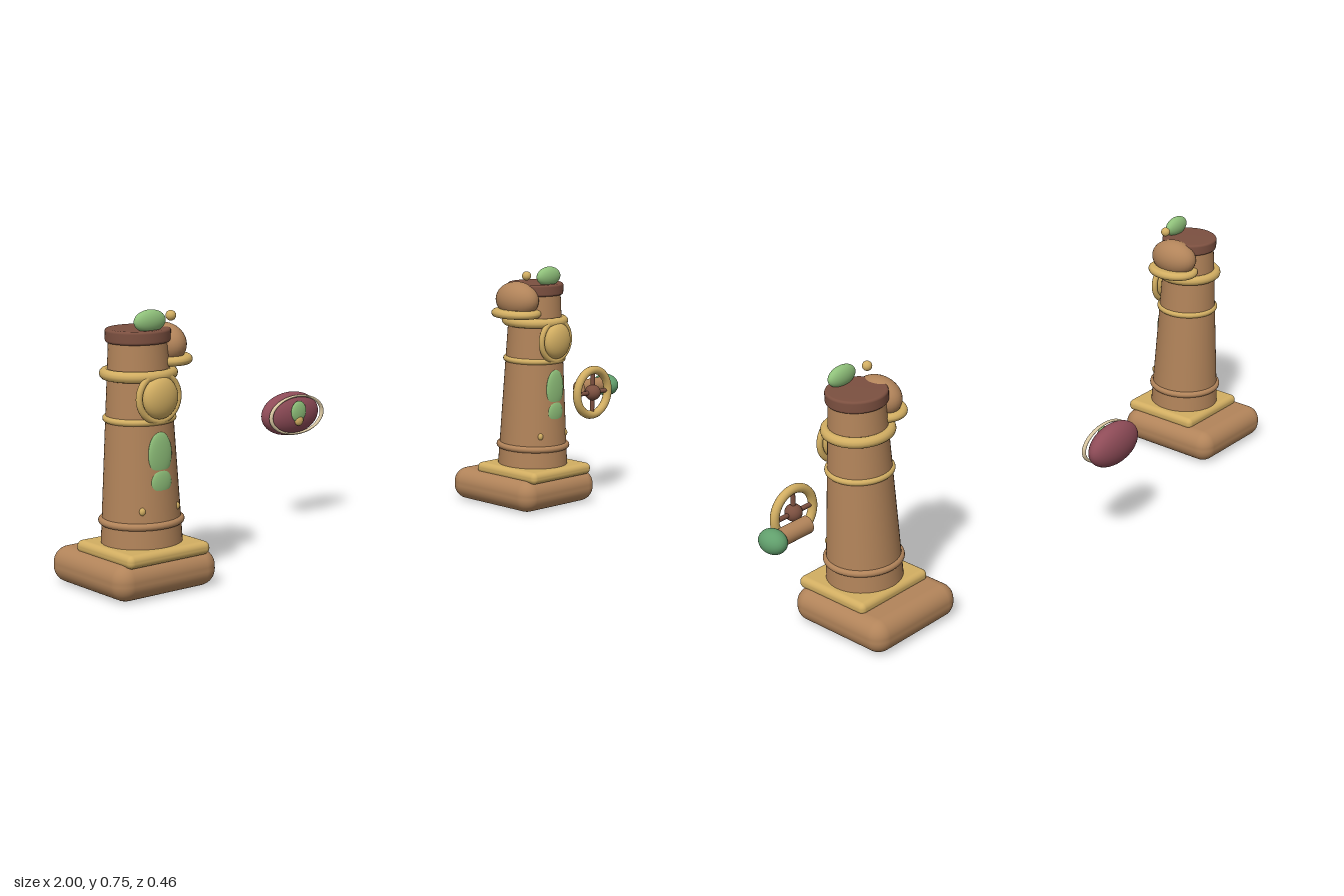
import * as THREE from 'three';
import { RoundedBoxGeometry } from 'three/addons/geometries/RoundedBoxGeometry.js';

function paint(name, color) {
  const m = new THREE.MeshStandardMaterial({ color });
  m.name = name;
  return m;
}

export function createModel() {
  const brown = paint('warm brown', 0xb2845a);
  const darkBrown = paint('dark brown', 0x7c5040);
  const gold = paint('brass', 0xd2ae62);
  const lightGreen = paint('light green', 0x8fc07a);
  const green = paint('green', 0x619f6c);
  const red = paint('wine red', 0x8f4c58);
  const cream = paint('cream', 0xd9c7a2);

  const add = (parent, name, geometry, material, x = 0, y = 0, z = 0) => {
    const mesh = new THREE.Mesh(geometry, material);
    mesh.name = name;
    mesh.position.set(x, y, z);
    parent.add(mesh);
    return mesh;
  };
  const ball = (parent, name, material, [x, y, z], [rx, ry, rz]) =>
    add(parent, name, new THREE.SphereGeometry(1, 32, 20).scale(rx, ry, rz), material, x, y, z);
  // Round disc with a fully rounded rim
  const roundedDisc = (radius, height, edge) => {
    const h = height / 2;
    const pts = [new THREE.Vector2(0, -h)];
    for (const [sy, from] of [[-1, 0], [1, 1]]) {
      for (let i = 0; i <= 5; i++) {
        const a = (Math.abs(from * 5 - i) / 5) * Math.PI / 2;
        const t = sy < 0 ? a : Math.PI / 2 - (i / 5) * Math.PI / 2;
        const out = sy < 0 ? Math.sin(t) : Math.cos(Math.PI / 2 - t);
        const up = sy < 0 ? Math.cos(t) : Math.sin(Math.PI / 2 - t);
        pts.push(new THREE.Vector2(radius - edge + edge * out, sy * (h - edge + edge * up)));
      }
    }
    pts.push(new THREE.Vector2(0, h));
    return new THREE.LatheGeometry(pts, 48);
  };

  const AXIS_Z = 0.098;

  // One tower; side gives the direction of its pot along x
  function tower(name, x, side) {
    const g = new THREE.Group();
    g.name = name;
    g.position.x = x;

    add(g, 'base', new RoundedBoxGeometry(0.325, 0.1, 0.343, 5, 0.045), brown, 0, 0.05, 0.06);
    add(g, 'plinth', new RoundedBoxGeometry(0.263, 0.036, 0.252, 4, 0.016), gold, 0, 0.108, 0.104);
    add(g, 'shaft', new THREE.CylinderGeometry(0.078, 0.109, 0.55, 48), brown, 0, 0.385, AXIS_Z);
    add(g, 'cap', roundedDisc(0.086, 0.036, 0.007), darkBrown, 0, 0.677, AXIS_Z);

    // Bands around the shaft
    for (const [label, y, r, tube, mat] of [
      ['lowerBand', 0.185, 0.104, 0.01, brown],
      ['middleBand', 0.458, 0.088, 0.009, gold],
      ['upperBand', 0.577, 0.088, 0.015, gold],
    ]) {
      add(g, label, new THREE.TorusGeometry(r, tube, 12, 48).rotateX(Math.PI / 2), mat, 0, y, AXIS_Z);
    }

    // Front medallion and oval lamp
    add(g, 'medallionRing', new THREE.TorusGeometry(0.062, 0.009, 12, 40), gold, 0, 0.522, 0.186);
    ball(g, 'medallion', gold, [0, 0.522, 0.193], [0.053, 0.056, 0.027]);
    ball(g, 'ovalLamp', lightGreen, [0, 0.372, 0.187], [0.037, 0.06, 0.01]);
    ball(g, 'lampGlow', lightGreen, [0, 0.298, 0.19], [0.032, 0.036, 0.009]);
    for (const s of [-1, 1]) {
      ball(g, 'stud', gold, [s * 0.055, 0.226, 0.181], [0.009, 0.011, 0.008]);
    }

    // Crest on the cap
    ball(g, 'crest', lightGreen, [0, 0.718, 0.152], [0.049, 0.03, 0.02]);

    // Side pot on its saucer, with a small ball above
    const saucer = add(g, 'saucer', roundedDisc(0.069, 0.025, 0.012), gold, side * 0.084, 0.606, AXIS_Z);
    saucer.scale.z = 1.2;
    ball(g, 'pot', brown, [side * 0.081, 0.647, AXIS_Z], [0.052, 0.056, 0.077]);
    ball(g, 'potBall', gold, [side * 0.08, 0.724, 0.135], [0.014, 0.014, 0.014]);
    return g;
  }

  const model = new THREE.Group();
  model.name = 'towerPair';
  model.add(tower('rightTower', -0.837, 1), tower('leftTower', 0.668, -1));

  // Hand wheel
  const wheel = new THREE.Group();
  wheel.name = 'handWheel';
  wheel.position.set(0.82, 0.345, 0.207);
  add(wheel, 'wheelRim', new THREE.TorusGeometry(0.071, 0.013, 14, 48), gold);
  for (let i = 0; i < 2; i++) {
    const spoke = add(wheel, 'spoke', new THREE.CylinderGeometry(0.007, 0.007, 0.142, 12), darkBrown);
    spoke.rotation.z = i * Math.PI / 2;
  }
  ball(wheel, 'wheelHub', darkBrown, [0, 0, 0.001], [0.025, 0.025, 0.025]);
  model.add(wheel);

  // Crank arm and knob
  add(model, 'crankArm', new THREE.CylinderGeometry(0.025, 0.025, 0.115, 28).rotateZ(Math.PI / 2),
    brown, 0.9, 0.345, 0.13);
  ball(model, 'crankKnob', green, [0.966, 0.344, 0.133], [0.034, 0.035, 0.045]);

  // Floating badge
  const badge = new THREE.Group();
  badge.name = 'badge';
  badge.position.set(-0.085, 0.335, -0.19);
  ball(badge, 'badgeBody', red, [0, 0, 0], [0.105, 0.065, 0.042]);
  const rim = add(badge, 'badgeRim', new THREE.TorusGeometry(0.098, 0.006, 12, 56), cream, 0, 0, 0.032);
  rim.scale.y = 0.575;
  ball(badge, 'badgeLeaf', lightGreen, [0, 0.011, 0.041], [0.028, 0.032, 0.009]);
  ball(badge, 'badgeBead', gold, [0, -0.016, 0.042], [0.015, 0.016, 0.01]);
  model.add(badge);

  return model;
}
